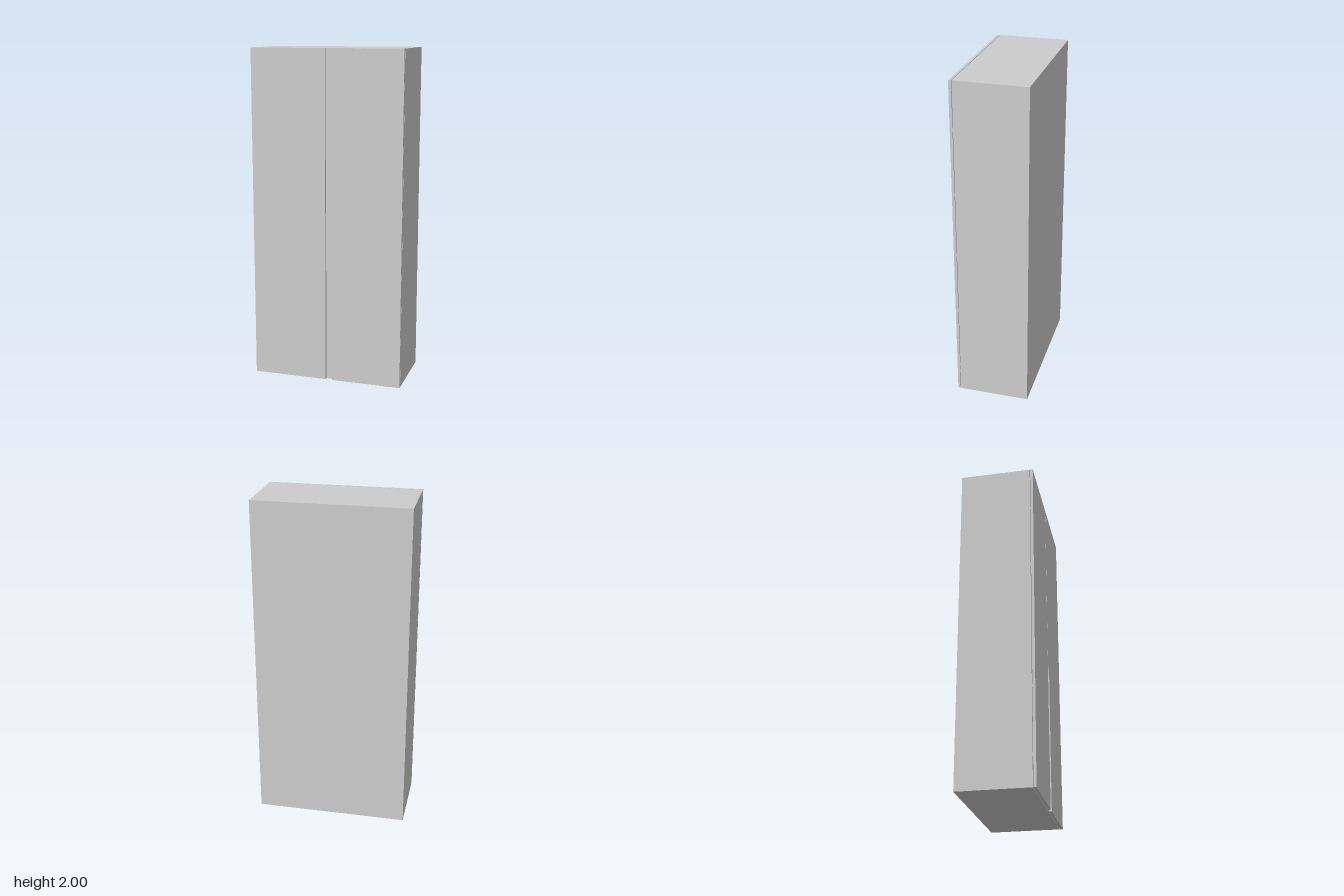
import * as THREE from 'three';

const W = 0.46;              // half width
const H = 2;                 // height
const BACK = -0.222, BODY_FRONT = 0.203, DOOR_BACK = 0.206, FRONT = 0.222;
const SEAM = -0.002, GAP = 0.002; // seam centre and half width

export function createModel() {
  const group = new THREE.Group();
  const material = new THREE.MeshStandardMaterial({ color: 0xcccccc, flatShading: true });

  const add = (name, geometry, x, y, z) => {
    const mesh = new THREE.Mesh(geometry, material);
    mesh.name = name;
    mesh.position.set(x, y, z);
    group.add(mesh);
    return mesh;
  };
  const box = (name, x0, x1, y0, y1, z0, z1) =>
    add(name, new THREE.BoxGeometry(x1 - x0, y1 - y0, z1 - z0),
      (x0 + x1) / 2, (y0 + y1) / 2, (z0 + z1) / 2);

  // Closed cabinet body
  box('cabinetBody', -W, W, 0, H, BACK, BODY_FRONT);

  // Plain door on the model's right
  box('rightDoor', -W, SEAM - GAP, 0, H, DOOR_BACK, FRONT);

  // Left door with a tall finger-pull cut into its inner edge
  const inner = SEAM + GAP, cut = 0.037;
  const shape = new THREE.Shape();
  shape.moveTo(inner + cut, 0);
  shape.lineTo(W, 0);
  shape.lineTo(W, H);
  shape.lineTo(inner, H);
  shape.lineTo(inner, 0.92);
  shape.quadraticCurveTo(inner + cut, 0.9, inner + cut, 0.82);
  shape.closePath();
  const door = new THREE.ExtrudeGeometry(shape, {
    depth: FRONT - DOOR_BACK, bevelEnabled: false, curveSegments: 10,
  });
  add('leftDoor', door, 0, 0, DOOR_BACK);

  // Hinge plates bridging the slit between body and doors
  for (const side of [-1, 1]) {
    for (const y of [0.18, 0.57, 0.95, 1.335, 1.72]) {
      const x = side * 0.444;
      box('hinge', x - 0.014, x + 0.014, y - 0.01, y + 0.01, BODY_FRONT - 0.001, DOOR_BACK + 0.001);
    }
  }
  return group;
}
